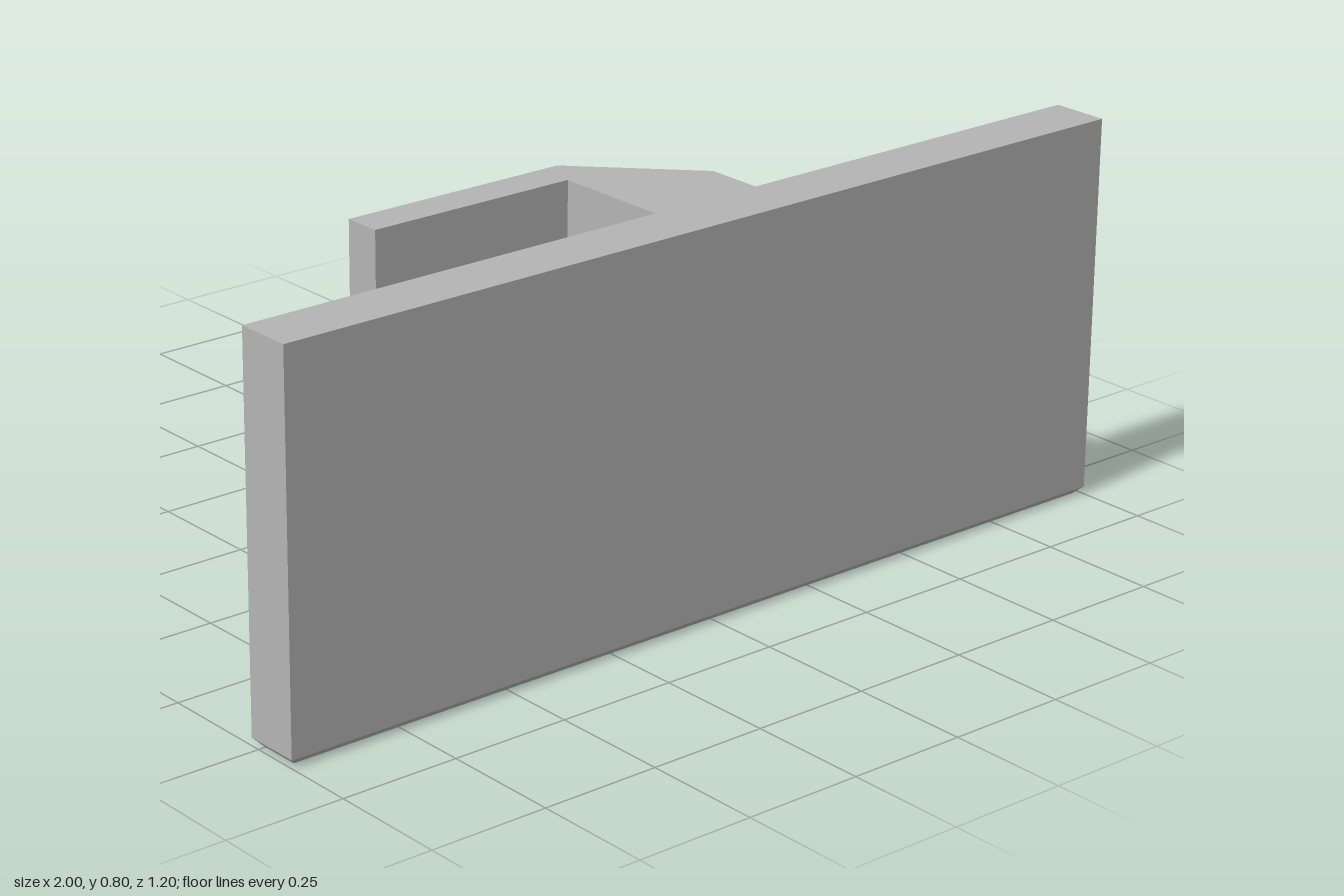
import * as THREE from 'three';
import { toCreasedNormals } from 'three/addons/utils/BufferGeometryUtils.js';

const CHAMFER = 0.016;
const PLATE_TOP = 0.8, BRACKET_TOP = 0.48;
const v = (x, z) => new THREE.Vector2(x, z);

// Plan outlines are (x, z) points
function bracketOutline() {
  const radius = 0.23, centreX = 0.515;
  const start = Math.asin(0.225 / radius), end = -Math.acos((0.555 - centreX) / radius);
  const pocket = [];
  for (let i = 0; i <= 40; i++) {
    const a = start + (end - start) * i / 40;
    pocket.push(v(centreX + radius * Math.cos(a), radius * Math.sin(a)));
  }
  return [
    v(0.04, 0.48), v(0.04, -0.045), v(0.135, -0.045), v(0.135, 0.225),
    ...pocket,
    v(0.555, -0.51), v(0.04, -0.51), v(0.04, -0.6), v(0.6, -0.6),
    v(0.835, -0.36), v(0.835, 0.48),
  ];
}

// Upright prism between two heights
function prism(outline, bottom, top) {
  const geometry = new THREE.ExtrudeGeometry(new THREE.Shape(outline), { depth: top - bottom, bevelEnabled: false });
  geometry.rotateX(Math.PI / 2).translate(0, top, 0);
  return toCreasedNormals(geometry, 0.4);
}

// Mitred inward offset of an outline
function inset(outline, d) {
  const n = outline.length;
  const normal = (a, b) => v(a.y - b.y, b.x - a.x).normalize();
  return outline.map((p, i) => {
    const n1 = normal(outline[(i + n - 1) % n], p);
    const n2 = normal(p, outline[(i + 1) % n]);
    return p.clone().addScaledVector(n1.clone().add(n2), d / (1 + n1.dot(n2)));
  });
}

// Sloping band that joins the inset underside to the walls
function chamferBand(outer, inner, height) {
  const positions = [];
  outer.forEach((p, i) => {
    const j = (i + 1) % outer.length, q = outer[j], a = inner[i], b = inner[j];
    positions.push(p.x, height, p.y, q.x, height, q.y, b.x, 0, b.y);
    positions.push(p.x, height, p.y, b.x, 0, b.y, a.x, 0, a.y);
  });
  const geometry = new THREE.BufferGeometry();
  geometry.setAttribute('position', new THREE.Float32BufferAttribute(positions, 3));
  geometry.computeVertexNormals();
  return toCreasedNormals(geometry, 0.4);
}

export function createModel() {
  const group = new THREE.Group();
  group.name = 'plateWithClip';
  const grey = new THREE.MeshStandardMaterial({ color: 0xb4b4b4 });
  grey.name = 'grey';
  const add = (name, geometry) => {
    const mesh = new THREE.Mesh(geometry, grey);
    mesh.name = name;
    group.add(mesh);
  };

  const bracket = bracketOutline();
  const plate = [v(-1, 0.6), v(-1, 0.48), v(1, 0.48), v(1, 0.6)];
  add('frontPlate', prism(plate, CHAMFER, PLATE_TOP));
  add('clipBracket', prism(bracket, CHAMFER, BRACKET_TOP));

  // Shared chamfered foot under plate and bracket
  const footprint = [plate[0], plate[1], ...bracket, plate[2], plate[3]];
  const sole = inset(footprint, CHAMFER);
  add('bottomChamfer', chamferBand(footprint, sole, CHAMFER));
  add('underside', new THREE.ShapeGeometry(new THREE.Shape(sole)).rotateX(Math.PI / 2));
  return group;
}
